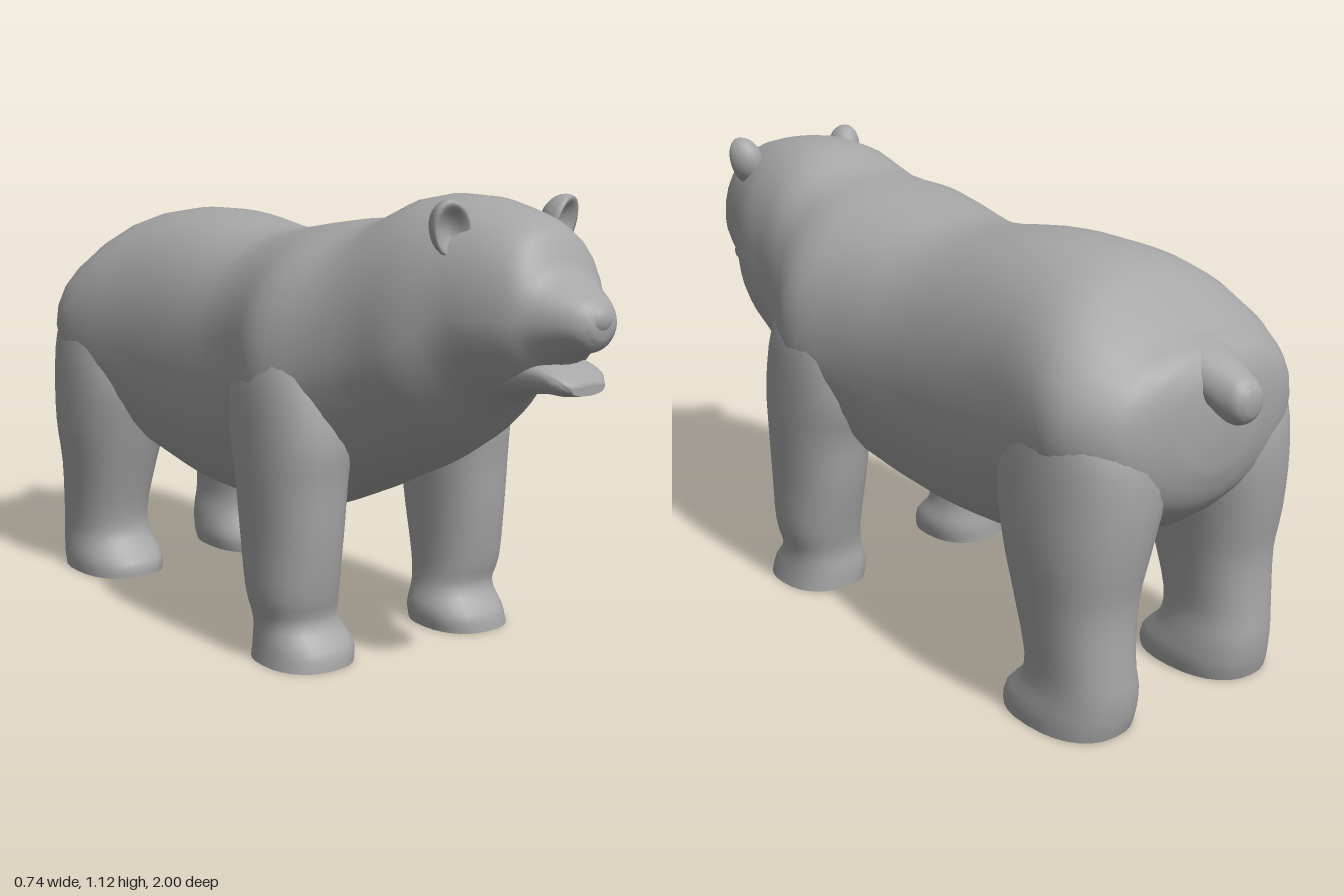
import * as THREE from 'three';
import { toCreasedNormals } from 'three/addons/utils/BufferGeometryUtils.js';

const SIDES = 28, STEPS = 3;

// Smooth loft through rows [t, low, high, middle, xMin, xMax].
// axis 'z': rows run rear to front, low/high are heights.
// axis 'y': rows run top to bottom, low/high are depths.
function loft(rows, axis, power = 0.9, lowPower = power) {
  const pos = [], index = [];
  const at = (i, k) => rows[Math.min(rows.length - 1, Math.max(0, i))][k];
  const mix = (i, f, k) => {
    const a = at(i - 1, k), b = at(i, k), c = at(i + 1, k), d = at(i + 2, k);
    return b + 0.5 * f * (c - a + f * (2 * a - 5 * b + 4 * c - d + f * (3 * (b - c) + d - a)));
  };
  const curve = (v, p) => Math.sign(v) * Math.abs(v) ** p;
  const push = (x, s, t) => (axis === 'z' ? pos.push(x, s, t) : pos.push(x, t, s));
  const count = (rows.length - 1) * STEPS + 1;
  for (let r = 0; r < count; r++) {
    const i = Math.floor(r / STEPS), f = (r % STEPS) / STEPS;
    const [t, lo, hi, mid, x0, x1] = [0, 1, 2, 3, 4, 5].map(k => mix(i, f, k));
    for (let j = 0; j < SIDES; j++) {
      const a = (j / SIDES) * Math.PI * 2, p = Math.sin(a) < 0 ? lowPower : power;
      const c = curve(Math.cos(a), p), s = curve(Math.sin(a), p);
      push((x0 + x1) / 2 + c * (x1 - x0) / 2, mid + s * (s > 0 ? hi - mid : mid - lo), t);
    }
  }
  for (let r = 0; r < count - 1; r++) {
    for (let j = 0; j < SIDES; j++) {
      const k = (j + 1) % SIDES, a = r * SIDES, b = a + SIDES;
      index.push(a + j, a + k, b + k, a + j, b + k, b + j);
    }
  }
  // End caps
  [rows[0], rows[rows.length - 1]].forEach((row, e) => {
    push((row[4] + row[5]) / 2, row[3], row[0]);
    const centre = pos.length / 3 - 1, a = e ? (count - 1) * SIDES : 0;
    for (let j = 0; j < SIDES; j++) {
      const k = (j + 1) % SIDES;
      index.push(centre, a + (e ? j : k), a + (e ? k : j));
    }
  });
  const geo = new THREE.BufferGeometry();
  geo.setAttribute('position', new THREE.Float32BufferAttribute(pos, 3));
  geo.setIndex(index);
  return toCreasedNormals(geo, 1.0);
}

// Rows symmetric about x = 0: [z, low, high, middle, halfWidth]
const centred = rows => rows.map(([z, lo, hi, m, w]) => [z, lo, hi, m, -w, w]);
// Leg rows for one side: [y, back, front, xInner, xOuter]
const sided = (rows, s) => rows.map(([y, b, f, i, o]) =>
  [y, b, f, (b + f) / 2, s > 0 ? i : -o, s > 0 ? o : -i]);

const BODY = [
  [-0.915, 0.6, 0.82, 0.72, 0.12],
  [-0.885, 0.52, 0.865, 0.7, 0.25],
  [-0.83, 0.46, 0.895, 0.7, 0.315],
  [-0.75, 0.41, 0.95, 0.7, 0.352],
  [-0.65, 0.36, 1.01, 0.69, 0.347],
  [-0.5, 0.305, 1.035, 0.67, 0.325],
  [-0.33, 0.275, 1.03, 0.65, 0.315],
  [-0.1, 0.27, 1.0, 0.65, 0.315],
  [0.07, 0.3, 1.025, 0.68, 0.335],
  [0.22, 0.355, 1.045, 0.7, 0.368],
  [0.36, 0.42, 1.06, 0.73, 0.315],
  [0.48, 0.475, 1.112, 0.76, 0.275],
  [0.6, 0.55, 1.12, 0.79, 0.252],
  [0.7, 0.645, 1.105, 0.86, 0.208],
  [0.78, 0.69, 1.085, 0.87, 0.178],
  [0.845, 0.72, 1.05, 0.87, 0.147],
  [0.885, 0.765, 0.975, 0.87, 0.12],
  [0.94, 0.8, 0.94, 0.87, 0.085],
  [0.975, 0.813, 0.92, 0.865, 0.058],
  [0.993, 0.838, 0.895, 0.865, 0.033],
];
const JAW = [
  [0.78, 0.695, 0.8, 0.75, 0.1],
  [0.87, 0.71, 0.785, 0.755, 0.088],
  [0.92, 0.71, 0.768, 0.75, 0.076],
  [0.955, 0.716, 0.745, 0.735, 0.05],
];
const TAIL = [
  [-1.0, 0.745, 0.8, 0.775, 0.025],
  [-0.985, 0.725, 0.82, 0.775, 0.045],
  [-0.95, 0.718, 0.842, 0.78, 0.056],
  [-0.89, 0.755, 0.872, 0.815, 0.072],
  [-0.8, 0.79, 0.905, 0.85, 0.09],
];
const FRONT_LEG = [
  [0.88, 0.17, 0.26, 0.14, 0.25],
  [0.82, 0.13, 0.31, 0.12, 0.32],
  [0.7, 0.07, 0.37, 0.11, 0.362],
  [0.55, 0.055, 0.4, 0.13, 0.37],
  [0.44, 0.085, 0.39, 0.14, 0.37],
  [0.3, 0.105, 0.38, 0.15, 0.365],
  [0.17, 0.135, 0.36, 0.155, 0.365],
  [0.1, 0.15, 0.345, 0.15, 0.35],
  [0.045, 0.145, 0.39, 0.13, 0.355],
  [0.0, 0.145, 0.4, 0.135, 0.362],
];
const HIND_LEG = [
  [0.82, -0.78, -0.64, 0.12, 0.27],
  [0.76, -0.83, -0.58, 0.08, 0.325],
  [0.67, -0.885, -0.53, 0.05, 0.348],
  [0.55, -0.895, -0.5, 0.05, 0.358],
  [0.42, -0.88, -0.53, 0.08, 0.358],
  [0.3, -0.86, -0.565, 0.105, 0.345],
  [0.17, -0.865, -0.6, 0.12, 0.335],
  [0.1, -0.87, -0.595, 0.11, 0.335],
  [0.04, -0.865, -0.54, 0.1, 0.345],
  [0.0, -0.855, -0.535, 0.105, 0.345],
];

// Rounded ear with a dished front face
function earGeometry() {
  const geo = new THREE.SphereGeometry(1, 20, 14), p = geo.attributes.position;
  for (let i = 0; i < p.count; i++) {
    const x = p.getX(i), y = p.getY(i), z = p.getZ(i), r = Math.hypot(x, y);
    if (z > 0) p.setZ(i, z - 1.2 * Math.max(0, 1 - r * r));
  }
  geo.scale(0.045, 0.064, 0.055);
  geo.computeVertexNormals();
  return geo;
}

export function createModel() {
  const model = new THREE.Group();
  model.name = 'bear';
  const fur = new THREE.MeshStandardMaterial({ color: 0xa6a6a6 });
  fur.name = 'greyFur';
  const add = (name, geo) => {
    const mesh = new THREE.Mesh(geo, fur);
    mesh.name = name;
    model.add(mesh);
    return mesh;
  };

  add('bodyAndHead', loft(centred(BODY), 'z', 0.9, 1.08));
  add('lowerJaw', loft(centred(JAW), 'z', 0.8));
  add('tail', loft(centred(TAIL), 'z', 1));

  const nose = add('nose', new THREE.SphereGeometry(1, 18, 12));
  nose.scale.set(0.045, 0.038, 0.038);
  nose.position.set(0, 0.88, 0.962);

  for (const s of [1, -1]) {
    const side = s > 0 ? 'left' : 'right';
    add(side + 'FrontLeg', loft(sided(FRONT_LEG, s), 'y', 0.85));
    add(side + 'HindLeg', loft(sided(HIND_LEG, s), 'y', 0.85));
    const ear = add(side + 'Ear', earGeometry());
    ear.position.set(s * 0.166, 1.057, 0.7);
    ear.rotation.set(0.2, s * 0.25, s * -0.25);
  }
  return model;
}
